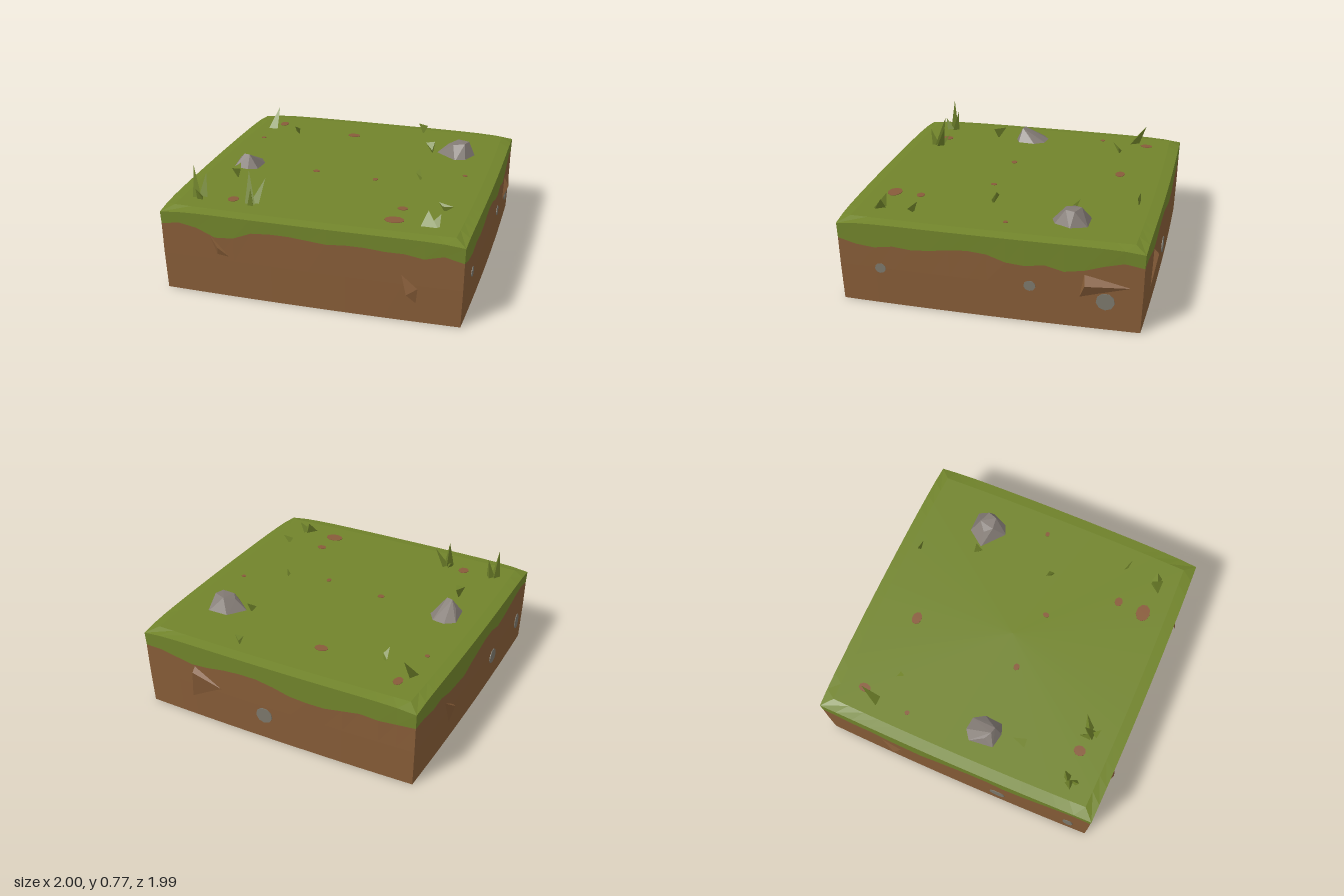
import * as THREE from 'three';
import { ConvexGeometry } from 'three/addons/geometries/ConvexGeometry.js';

const mat = (name, color) => new THREE.MeshStandardMaterial({ name, color });
const HALF = 0.96, STEPS = 16;

// Height of the grass fringe along each side: front, right, back, left
const FRINGE = [
  [.45, .47, .45, .40, .41, .46, .47, .47, .46, .45, .46, .46, .45, .45, .43, .46, .43],
  [.43, .40, .39, .41, .40, .41, .43, .44, .43, .39, .38, .40, .37, .39, .43, .46, .44],
  [.44, .44, .42, .40, .41, .43, .44, .44, .42, .39, .38, .38, .40, .42, .41, .42, .43],
  [.43, .43, .41, .42, .39, .38, .37, .40, .42, .44, .44, .41, .42, .44, .46, .47, .45],
];

// Point on a slightly bowed side; u runs -1..1 anticlockwise seen from above
function sidePoint(side, u, scale, y) {
  const out = HALF + 0.015 * (1 - u * u);
  return new THREE.Vector3(u * HALF * scale, y, out * scale)
    .applyAxisAngle(new THREE.Vector3(0, 1, 0), side * Math.PI / 2);
}

// Closed ring around the block, height given as a function of side, step and u
function ring(scale, height) {
  const pts = [];
  for (let s = 0; s < 4; s++)
    for (let i = 0; i < STEPS; i++) {
      const u = -1 + 2 * i / STEPS;
      pts.push(sidePoint(s, u, scale, height(s, i, u)));
    }
  return pts;
}

// Flat-faced skin through the rings, capped at the bottom or at the top
function skin(rings, capBottom) {
  const out = [];
  const tri = (...v) => v.forEach(p => out.push(p.x, p.y, p.z));
  const n = rings[0].length;
  for (let r = 0; r + 1 < rings.length; r++)
    for (let k = 0; k < n; k++) {
      const j = (k + 1) % n, a = rings[r], b = rings[r + 1];
      tri(a[k], a[j], b[j]);
      tri(a[k], b[j], b[k]);
    }
  const cap = capBottom ? rings[0] : rings[rings.length - 1];
  const centre = new THREE.Vector3(0, cap[0].y, 0);
  for (let k = 0; k < n; k++) {
    const j = (k + 1) % n;
    if (capBottom) tri(cap[j], cap[k], centre);
    else tri(cap[k], cap[j], centre);
  }
  const g = new THREE.BufferGeometry();
  g.setAttribute('position', new THREE.Float32BufferAttribute(out, 3));
  g.computeVertexNormals();
  return g;
}

export function createModel() {
  const group = new THREE.Group();
  const grass = mat('grass green', 0x71842b);
  const soil = mat('soil brown', 0x865c37);
  const stone = mat('stone grey', 0x827a74);
  const pebble = mat('pebble grey', 0x7a766a);
  const patch = mat('bare earth', 0x885b3a);

  const add = (name, geo, material) => {
    const m = new THREE.Mesh(geo, material);
    m.name = name;
    group.add(m);
    return m;
  };
  const hull = (name, pts, material) =>
    add(name, new ConvexGeometry(pts.map(p => new THREE.Vector3(...p))), material);

  // Block of earth with a grass cap
  const fringe = ring(1, (s, i) => FRINGE[s][i]);
  add('soilBlock', skin([ring(0.987, () => 0), ring(0.996, () => 0.25), fringe], true), soil);
  add('grassCap', skin([
    fringe,
    ring(1.004, (s, i, u) => 0.55 - 0.02 * Math.abs(u) ** 8),
    ring(0.93, () => 0.56),
  ], false), grass);

  // Jagged shards of earth sticking out of the sides
  [
    [[-.70, .50, .95], [-.44, .22, .95], [-.59, .27, .96], [-.58, .34, .985]],
    [[.56, .40, .95], [.62, .19, .99], [.69, .11, .95], [.69, .23, .96]],
    [[.96, .38, -.60], [.96, .20, -.57], [.96, .30, -.88], [1, .30, -.61]],
    [[.33, .25, -.96], [.58, .40, -.96], [.62, .14, -.96], [.58, .36, -1]],
    [[-.96, .36, -.56], [-.96, .12, -.44], [-.96, .24, -.38], [-1, .27, -.44]],
  ].forEach(p => hull('earthShard', p, soil));

  // Rocks resting in the grass
  hull('leftRock', [
    [-.80, .55, .02], [-.73, .55, -.03], [-.64, .55, -.02], [-.59, .55, .06], [-.60, .55, .19],
    [-.67, .55, .22], [-.78, .55, .20], [-.71, .65, .16], [-.67, .65, .17], [-.64, .61, .12], [-.75, .61, .13],
  ], stone);
  hull('rightRock', [
    [.49, .55, -.46], [.58, .55, -.58], [.73, .55, -.58], [.77, .55, -.47], [.72, .55, -.36],
    [.65, .55, -.33], [.58, .63, -.47], [.64, .65, -.52], [.72, .65, -.49], [.70, .65, -.43], [.62, .64, -.42],
  ], stone);

  // Grass blades: base centre, half width, half depth, tip
  [
    [-.79, -.64, .035, .04, -.77, .70, -.73],
    [-.80, .74, .03, .03, -.82, .77, .74],
    [-.77, .72, .03, .025, -.76, .71, .69],
    [-.77, .76, .02, .03, -.79, .64, .80],
    [-.44, .75, .035, .03, -.465, .76, .70],
    [-.42, .73, .03, .03, -.365, .71, .68],
    [-.45, .74, .025, .03, -.49, .62, .68],
    [-.43, .77, .02, .03, -.42, .68, .80],
    [.71, .77, .055, .045, .69, .64, .73],
    [.73, .76, .04, .04, .77, .63, .74],
  ].forEach(([x, z, w, d, tx, ty, tz]) => hull('grassBlade', [
    [x - w, .555, z + d * .6], [x + w, .555, z + d * .6], [x, .555, z - d], [tx, ty, tz],
  ], grass));

  // Small sprouts that widen upwards: foot, then two tips and a lower back corner
  [
    [[.32, .55, -.83], [.285, .63, -.835], [.355, .62, -.825], [.32, .59, -.84]],
    [[.47, .55, -.45], [.415, .62, -.47], [.48, .63, -.48], [.47, .58, -.43]],
    [[.50, .55, .08], [.46, .60, .05], [.49, .63, .06], [.51, .58, .09]],
    [[-.56, .55, -.57], [-.58, .63, -.52], [-.555, .60, -.56], [-.59, .57, -.58]],
    [[-.68, .55, .36], [-.68, .64, .30], [-.71, .63, .39], [-.65, .63, .385]],
    [[.75, .55, .53], [.71, .61, .52], [.81, .60, .55], [.74, .59, .54]],
  ].forEach(p => hull('sprout', p, grass));

  // Bare earth spots on top: x, z, radius x, radius z
  const disc = new THREE.CylinderGeometry(1, 1, 1, 9);
  [
    [-.74, -.74, .03, .042], [-.16, -.635, .045, .033], [-.785, -.41, .016, .016],
    [.77, -.07, .017, .015], [-.21, .12, .024, .02], [.21, .155, .017, .022],
    [.495, .57, .033, .027], [.485, .75, .062, .047], [-.57, .72, .035, .04],
  ].forEach(([x, z, rx, rz]) => {
    const m = add('earthSpot', disc, patch);
    m.position.set(x, .56, z);
    m.scale.set(rx, .006, rz);
  });

  // Pebbles set in the sides: side, position along it, height, radii
  [
    [1, -.69, .25, .036, .033], [1, .27, .25, .038, .034], [1, .735, .195, .058, .056],
    [2, -.07, .18, .058, .055], [3, .31, .20, .055, .052], [3, .82, .20, .036, .06],
  ].forEach(([side, along, y, rw, rh]) => {
    const m = add('pebble', disc, pebble);
    m.position.copy(sidePoint(side, along / HALF, .996, y));
    m.rotation.set(Math.PI / 2, side * Math.PI / 2, 0, 'YXZ');
    m.scale.set(rw, .009, rh);
  });

  return group;
}
